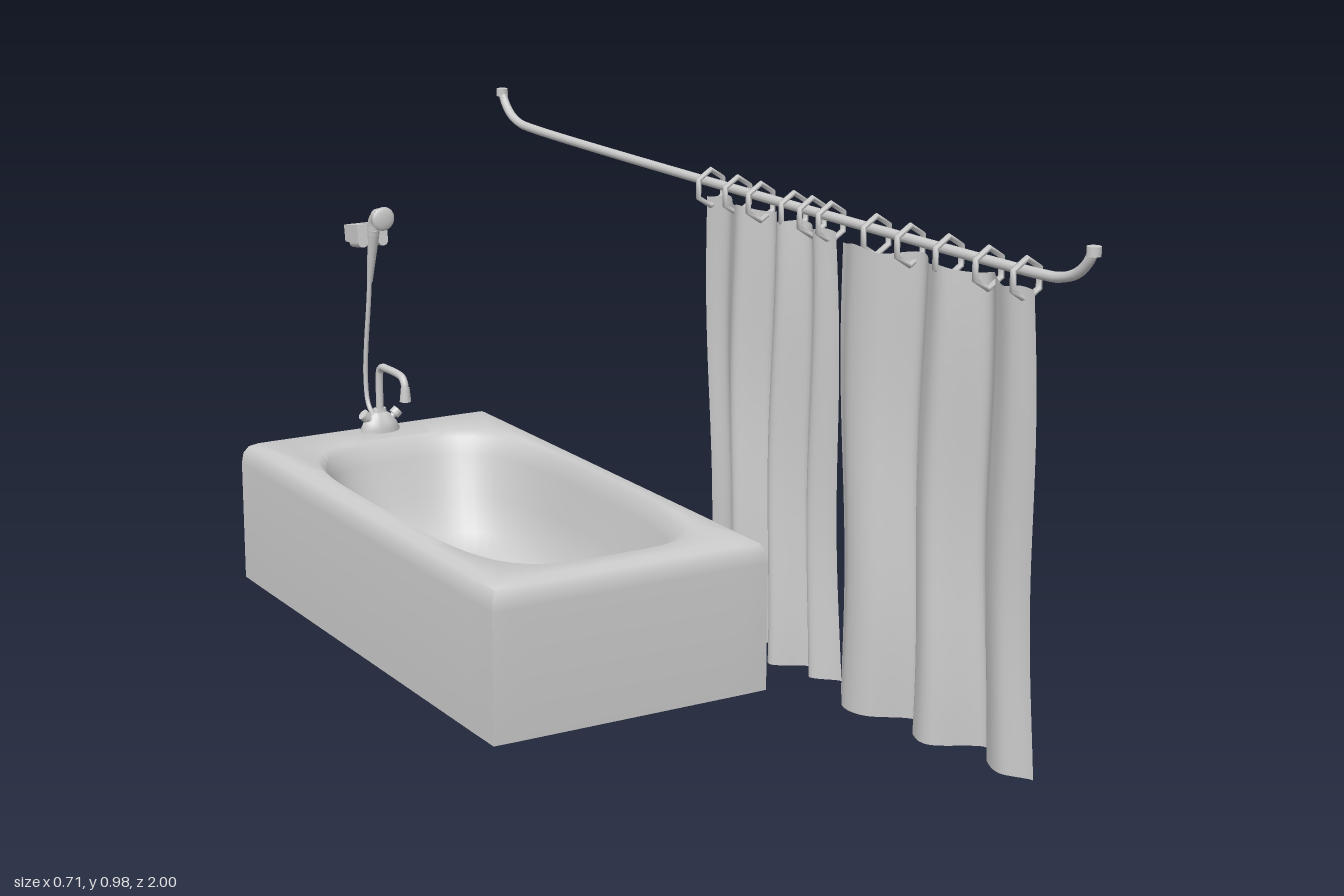
import * as THREE from 'three';
import { toCreasedNormals } from 'three/addons/utils/BufferGeometryUtils.js';

const V = (x, y, z) => new THREE.Vector3(x, y, z);
const TAP_X = -0.067;

export function createModel() {
  const model = new THREE.Group();
  const mat = new THREE.MeshStandardMaterial({ color: 0xcccccc });
  const cloth = new THREE.MeshStandardMaterial({ color: 0xcccccc, side: THREE.DoubleSide });

  const add = (name, geo, pos = [0, 0, 0], rot = [0, 0, 0], material = mat, parent = model) => {
    const m = new THREE.Mesh(geo, material);
    m.name = name;
    m.position.set(...pos);
    m.rotation.set(...rot);
    parent.add(m);
    return m;
  };
  const tube = (name, pts, r, seg = 40, parent = model) =>
    add(name, new THREE.TubeGeometry(new THREE.CatmullRomCurve3(pts, false, 'centripetal'), seg, r, 10), undefined, undefined, cloth, parent);
  // tapered rod between two points
  const strut = (name, a, b, ra, rb, parent = model) => {
    const m = add(name, new THREE.CylinderGeometry(rb, ra, a.distanceTo(b), 16), undefined, undefined, mat, parent);
    m.position.copy(a).lerp(b, 0.5);
    m.quaternion.setFromUnitVectors(V(0, 1, 0), b.clone().sub(a).normalize());
    return m;
  };

  // Bathtub: rings from the underside, up the walls, over the rim, down to the basin floor
  // [y, half width, back z, front z, squareness]
  add('bathtub', tubGeometry([
    [0, 0, -0.38, -0.38, 400],
    [0, 0.289, -0.938, 0.187, 400],
    [0.25, 0.289, -0.938, 0.187, 400],
    [0.272, 0.286, -0.935, 0.184, 400],
    [0.287, 0.277, -0.926, 0.175, 400],
    [0.295, 0.262, -0.91, 0.16, 400],
    [0.295, 0.243, -0.81, 0.12, 4],
    [0.285, 0.235, -0.8, 0.1, 3.6],
    [0.25, 0.227, -0.785, 0.07, 3.5],
    [0.17, 0.212, -0.755, 0.02, 3.4],
    [0.1, 0.192, -0.715, -0.04, 3.3],
    [0.065, 0.165, -0.665, -0.09, 3],
    [0.052, 0.12, -0.59, -0.16, 3],
    [0.05, 0, -0.38, -0.38, 3],
  ], -0.069));

  // Curtain rod with upturned ends
  const RX = 0.292, RY = 0.912;
  const half = [V(RX, RY, 0.86), V(RX, RY + 0.004, 0.91), V(RX, RY + 0.018, 0.95), V(RX, RY + 0.042, 0.977), V(RX, 0.975, 0.988)];
  const mirrored = half.map((p) => V(p.x, p.y, -p.z)).reverse();
  tube('curtainRod', [...mirrored, ...half], 0.009, 160);
  for (const s of [-1, 1])
    add('rodEndCap', new THREE.CylinderGeometry(0.012, 0.012, 0.016, 16), [RX, 0.972, s * 0.988]);

  // Six-sided curtain rings
  const ringGeo = new THREE.TorusGeometry(0.031, 0.005, 6, 6).rotateZ(Math.PI / 6).scale(1, 1.12, 1.4);
  for (const z of [0.82, 0.72, 0.61, 0.5, 0.4, 0.26, 0.2, 0.14, 0.03, -0.05, -0.145])
    add('curtainRing', ringGeo, [0.294, 0.896, z]);

  // Curtains: folds given as x offsets along the top and bottom hems
  add('frontCurtain', curtainGeometry(0.845, 0.345,
    [0, -0.012, 0.006, 0.03, -0.022, -0.01, 0.018, -0.03, -0.045, -0.03],
    [0.035, 0.005, 0.02, 0.058, -0.02, -0.015, 0.03, -0.035, -0.045, -0.01]), undefined, undefined, cloth);
  add('backCurtain', curtainGeometry(0.28, -0.155,
    [0, -0.015, 0.006, -0.028, -0.005, 0.022, -0.02, -0.004, 0.018, 0],
    [0.03, -0.01, 0.025, -0.035, 0, 0.035, -0.025, 0.005, 0.03, 0.02]), undefined, undefined, cloth);

  // Tap: base, two handles, curved spout
  const tap = new THREE.Group();
  tap.name = 'tap';
  model.add(tap);
  const dome = [[0, 0], [0.043, 0], [0.043, 0.008], [0.036, 0.022], [0.024, 0.036], [0.016, 0.042], [0.014, 0.05], [0, 0.05]]
    .map((p) => new THREE.Vector2(...p));
  add('tapBase', toCreasedNormals(new THREE.LatheGeometry(dome, 24), 0.6), [TAP_X, 0.294, -0.876], undefined, mat, tap)
    .scale.z = 0.65;
  for (const s of [-1, 1]) {
    strut('handleStem', V(TAP_X + s * 0.018, 0.315, -0.872), V(TAP_X + s * 0.034, 0.33, -0.872), 0.007, 0.007, tap);
    strut('tapHandle', V(TAP_X + s * 0.031, 0.327, -0.872), V(TAP_X + s * 0.041, 0.336, -0.872), 0.012, 0.012, tap);
  }
  const spout = [[0.32, -0.874], [0.41, -0.874], [0.428, -0.87], [0.436, -0.857], [0.437, -0.84], [0.437, -0.78],
    [0.433, -0.762], [0.42, -0.752], [0.4, -0.75]].map(([y, z]) => V(TAP_X, y, z));
  tube('spout', spout, 0.008, 60, tap);
  add('spoutNozzle', new THREE.CylinderGeometry(0.009, 0.012, 0.03, 16), [TAP_X, 0.401, -0.75], undefined, mat, tap);

  // Shower hose and handset
  const shower = new THREE.Group();
  shower.name = 'handShower';
  model.add(shower);
  const hose = [[0.325, -0.885], [0.326, -0.915], [0.345, -0.934], [0.4, -0.942], [0.47, -0.935], [0.56, -0.919], [0.63, -0.909]]
    .map(([y, z]) => V(TAP_X, y, z));
  tube('hose', hose, 0.005, 50, shower);
  strut('handsetHandle', V(TAP_X, 0.61, -0.91), V(TAP_X, 0.725, -0.885), 0.006, 0.013, shower);
  tube('handsetNeck', [V(TAP_X, 0.715, -0.887), V(TAP_X, 0.742, -0.882), V(TAP_X, 0.755, -0.868), V(TAP_X, 0.757, -0.85)], 0.013, 16, shower);
  strut('showerHead', V(TAP_X, 0.758, -0.872), V(TAP_X, 0.755, -0.838), 0.013, 0.025, shower);
  const face = add('showerFace', new THREE.SphereGeometry(0.025, 20, 12), [TAP_X, 0.755, -0.838], undefined, mat, shower);
  face.scale.z = 0.3;

  // Cradle: back plate with two arms that are rounded at the bottom
  const arm = new THREE.Shape();
  arm.moveTo(-0.011, 0.025);
  arm.lineTo(-0.011, -0.012);
  arm.absarc(0, -0.012, 0.011, Math.PI, Math.PI * 2, false);
  arm.lineTo(0.011, 0.025);
  const armGeo = new THREE.ExtrudeGeometry(arm, { depth: 0.045, bevelEnabled: false, curveSegments: 10 });
  const cradle = new THREE.Group();
  cradle.name = 'handsetCradle';
  cradle.position.set(TAP_X, 0.706, -0.925);
  cradle.rotation.x = -0.15;
  shower.add(cradle);
  for (const s of [-1, 1]) add('cradleArm', armGeo, [s * 0.023, 0, -0.01], undefined, mat, cradle);
  add('cradleBack', new THREE.BoxGeometry(0.066, 0.036, 0.025), [0, 0.007, -0.02], undefined, mat, cradle);

  return model;
}

// Skin over rings whose outline runs from rectangle to rounded oval
function tubGeometry(rings, cx, n = 80) {
  const pos = [], idx = [];
  for (const [y, hx, z0, z1, p] of rings)
    for (let j = 0; j < n; j++) {
      const t = (j / n) * Math.PI * 2, c = Math.cos(t), s = Math.sin(t);
      const big = Math.max(Math.abs(c), Math.abs(s));
      const r = Math.pow(Math.pow(Math.abs(c) / big, p) + Math.pow(Math.abs(s) / big, p), -1 / p) / big;
      pos.push(cx + c * r * hx, y, (z0 + z1) / 2 + s * r * (z1 - z0) / 2);
    }
  for (let i = 0; i < rings.length - 1; i++)
    for (let j = 0; j < n; j++) {
      const a = i * n + j, b = i * n + (j + 1) % n;
      idx.push(a, a + n, b, b, a + n, b + n);
    }
  const g = new THREE.BufferGeometry();
  g.setAttribute('position', new THREE.Float32BufferAttribute(pos, 3));
  g.setIndex(idx);
  return toCreasedNormals(g, 0.7);
}

// Hanging sheet blended between a top and a bottom fold line
function curtainGeometry(z0, z1, top, bottom) {
  const line = (xs) => new THREE.SplineCurve(xs.map((x, i) => new THREE.Vector2(i / (xs.length - 1), x)));
  const a = line(top), b = line(bottom);
  const g = new THREE.PlaneGeometry(1, 1, 72, 24);
  const p = g.attributes.position;
  for (let i = 0; i < p.count; i++) {
    const u = p.getX(i) + 0.5, v = 0.5 - p.getY(i);
    const x = THREE.MathUtils.lerp(a.getPoint(u).y, b.getPoint(u).y, v);
    const sway = 0.007 * Math.sin(v * 7 + u * 3);
    const hem = 0.004 * Math.sin(u * 30) * (1 - v);
    p.setXYZ(i, 0.292 + x, THREE.MathUtils.lerp(0.882, 0.03, v) + hem, THREE.MathUtils.lerp(z0, z1, u) + sway);
  }
  g.computeVertexNormals();
  return g;
}
